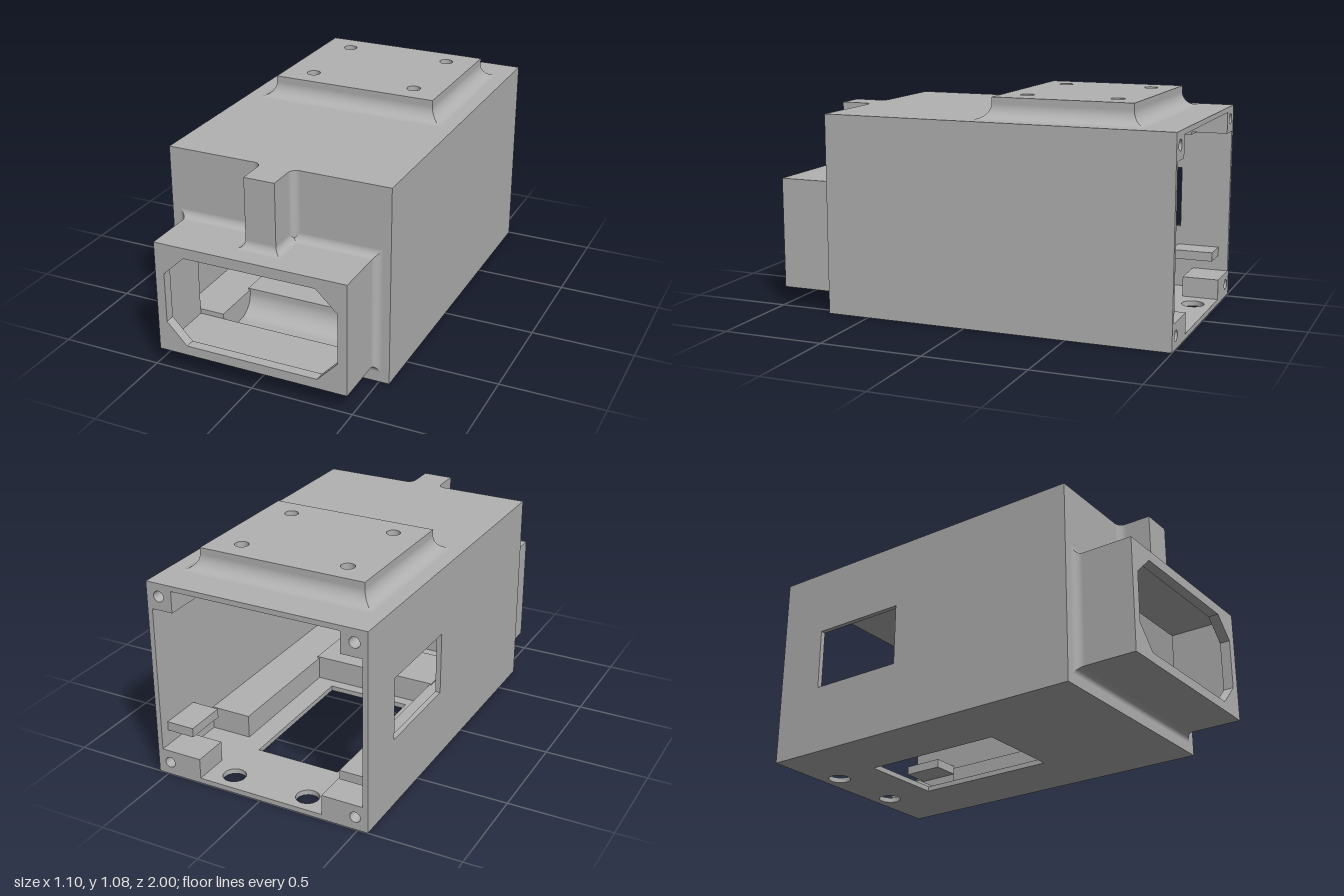
import * as THREE from 'three';

export function createModel() {
  const group = new THREE.Group();
  const grey = new THREE.MeshStandardMaterial({ color: 0xb2b2b2 });

  const add = (geometry, name) => {
    const mesh = new THREE.Mesh(geometry, grey);
    mesh.name = name;
    group.add(mesh);
    return mesh;
  };
  const poly = (pts, Type = THREE.Shape) => new Type(pts.map(([x, y]) => new THREE.Vector2(x, y)));
  const rect = (x0, x1, y0, y1, Type) => poly([[x0, y0], [x1, y0], [x1, y1], [x0, y1]], Type);
  const rectHole = (x0, x1, y0, y1) => rect(x0, x1, y0, y1, THREE.Path);
  const roundHole = (x, y, r) => new THREE.Path().absarc(x, y, r, 0, Math.PI * 2, true);
  const extrude = (shape, depth, holes = []) => {
    shape.holes.push(...holes);
    return new THREE.ExtrudeGeometry(shape, { depth, bevelEnabled: false, curveSegments: 20 });
  };
  // Horizontal plate drawn in (x, z), hanging down from y = top
  const plate = (shape, top, depth, holes) => extrude(shape, depth, holes).rotateX(Math.PI / 2).translate(0, top, 0);
  // Side wall drawn in (z, y), running towards -x from x = outer
  const sideWall = (shape, outer, depth, holes) => extrude(shape, depth, holes).rotateY(-Math.PI / 2).translate(outer, 0, 0);
  // Facing plate drawn in (x, y), starting at z
  const facing = (shape, z, depth, holes) => extrude(shape, depth, holes).translate(0, 0, z);
  const box = (name, x0, x1, y0, y1, z0, z1) =>
    add(new THREE.BoxGeometry(x1 - x0, y1 - y0, z1 - z0).translate((x0 + x1) / 2, (y0 + y1) / 2, (z0 + z1) / 2), name);

  // Rectangular skirt rising along y, flared by a mitred concave fillet at its foot
  const flare = (hx, hz, height, r) => {
    const profile = [];
    for (let i = 0; i <= 10; i++) {
      const a = (i / 10) * Math.PI / 2;
      profile.push([r * (1 - Math.sin(a)), r * (1 - Math.cos(a))]);
    }
    const signs = [[1, 1], [1, -1], [-1, -1], [-1, 1]];
    const pos = [], normal = [], index = [];
    signs.forEach((a, s) => {
      const b = signs[(s + 1) % 4];
      const out = [(a[0] + b[0]) / 2, (a[1] + b[1]) / 2];
      const rows = [...profile, [0, r], [0, height]];
      const base = pos.length / 3;
      rows.forEach(([o, y], i) => {
        const t = Math.min(i, 10) / 10 * Math.PI / 2;
        for (const c of [a, b]) {
          pos.push(c[0] * (hx + o), y, c[1] * (hz + o));
          normal.push(out[0] * Math.sin(t), Math.cos(t), out[1] * Math.sin(t));
        }
        if (i) {
          const k = base + 2 * (i - 1);
          index.push(k, k + 1, k + 3, k, k + 3, k + 2);
        }
      });
    });
    const g = new THREE.BufferGeometry();
    g.setAttribute('position', new THREE.Float32BufferAttribute(pos, 3));
    g.setAttribute('normal', new THREE.Float32BufferAttribute(normal, 3));
    g.setIndex(index);
    return g;
  };

  const W = 0.55, H = 0.975, T = 0.025, F = 0.71;
  const I = W - T;

  // Hollow housing, open at the back
  const padHoles = () => [-0.27, 0.27].flatMap(x => [-0.65, -0.21].map(z => roundHole(x, z, 0.033)));
  add(plate(rect(-W, W, -1, F), H, T, padHoles()), 'roof');
  add(plate(rect(-W, W, -1, F), T, T, [
    rectHole(-0.215, 0.215, -0.66, 0.065), roundHole(-0.195, -0.905, 0.055), roundHole(0.195, -0.905, 0.055),
  ]), 'floor');
  add(sideWall(rect(-1, F, T, H - T), W, T), 'leftWall');
  add(sideWall(rect(-1, F, T, H - T), -I, T, [rectHole(-0.75, -0.265, 0.34, 0.645)]), 'rightWallWithWindow');
  add(facing(rect(-I, I, T, H - T), F - T, T, [rectHole(-0.445, 0.445, 0.115, 0.605)]), 'frontWall');

  // Raised mounting pad on the roof
  add(plate(rect(-0.415, 0.415, -0.77, -0.09), 1.075, 0.12, padHoles()), 'mountingPad');
  add(flare(0.415, 0.34, 0.1, 0.07).translate(0, H, -0.43), 'padFillet');

  // Front collar with an octagonal opening
  const collar = () => rect(-0.475, 0.475, 0.088, 0.636);
  const octagon = poly([
    [-0.33, 0.135], [0.33, 0.135], [0.43, 0.24], [0.43, 0.485],
    [0.325, 0.585], [-0.325, 0.585], [-0.43, 0.485], [-0.43, 0.24],
  ], THREE.Path);
  add(facing(collar(), 0.95, 0.05, [octagon]), 'collarLip');
  add(facing(collar(), F, 0.24, [rectHole(-0.445, 0.445, 0.115, 0.605)]), 'collarSleeve');
  add(flare(0.475, 0.274, 0.29, 0.038).rotateX(Math.PI / 2).translate(0, 0.362, F), 'collarFillet');

  // Vertical rib above the collar, blended into the front wall and the collar
  const r = 0.038, rib = new THREE.Shape();
  rib.moveTo(-0.075 - r, F);
  rib.lineTo(0.075 + r, F);
  rib.absarc(0.075 + r, F + r, r, -Math.PI / 2, -Math.PI, true);
  rib.lineTo(0.075, 0.875);
  rib.lineTo(-0.075, 0.875);
  rib.lineTo(-0.075, F + r);
  rib.absarc(-0.075 - r, F + r, r, 0, -Math.PI / 2, true);
  add(plate(rib, H, H - 0.636), 'frontRib');
  add(flare(0.075, 0.0875, 0.1, r).translate(0, 0.636, 0.7875), 'ribFootFillet');

  for (const s of [-1, 1]) {
    const side = s > 0 ? 'left' : 'right';
    const span = (a, b) => (s > 0 ? [a, b] : [-b, -a]);
    // Screw bosses in the back corners
    for (const [end, inner, y0, y1, hy] of [['Top', 0.42, 0.845, H - T, 0.912], ['Bottom', 0.32, T, 0.125, 0.063]]) {
      const [x0, x1] = span(inner, I);
      add(facing(rect(x0, x1, y0, y1), -1, 0.1, [roundHole(s * 0.487, hy, 0.026)]), side + end + 'ScrewBoss');
      box(side + end + 'BossBacking', x0, x1, y0, y1, -0.9, -0.82);
    }
    // Floor rails and small brackets along the side walls
    box(side + 'FloorRail', ...span(0.32, I), T, 0.14, -0.58, F - T);
    box(side + 'Bracket', ...span(0.385, I), 0.2, 0.245, -0.95, -0.74);
  }
  // Rail under the roof on the windowed wall
  box('upperRail', -I, -0.42, 0.83, H - T, -0.82, F - T);

  // Cross sill with a hollow-curved front
  const sill = new THREE.Shape();
  sill.moveTo(0.12, T);
  sill.lineTo(0.52, T);
  sill.absarc(0.52, T + 0.1, 0.1, -Math.PI / 2, -Math.PI, true);
  sill.lineTo(0.42, 0.147);
  sill.lineTo(0.12, 0.147);
  add(sideWall(sill, 0.33, 0.66), 'crossSill');

  return group;
}
